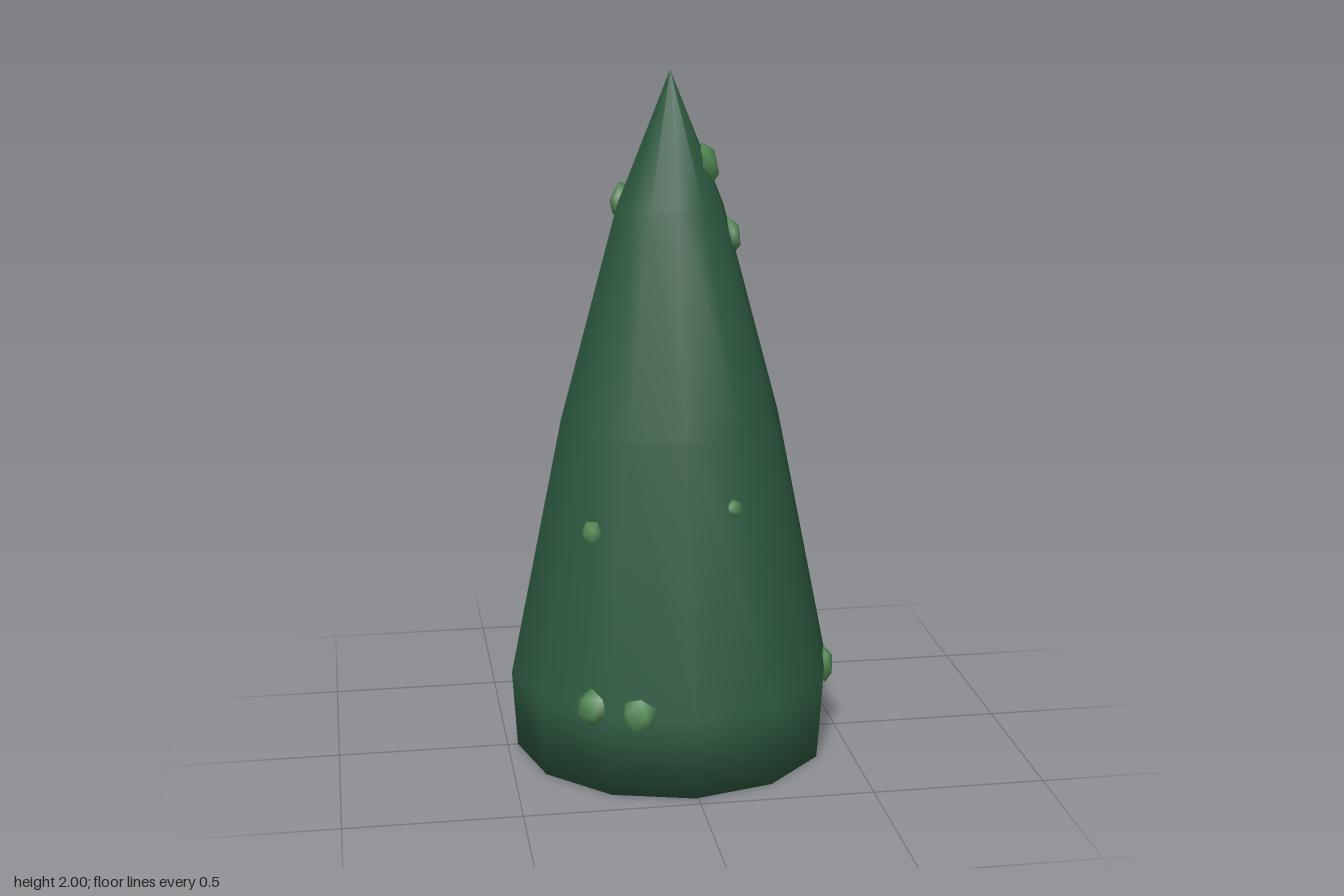
import * as THREE from 'three';
import { mergeVertices } from 'three/addons/utils/BufferGeometryUtils.js';

const SIDES = 12;
const CENTRE_X = -0.008;
// Cone outline as [radius, height], from the middle of the base to the tip
const PROFILE = [[0, 0], [0.462, 0], [0.476, 0.23], [0.32, 1.0], [0.153, 1.62], [0, 2]];

// Distance from the axis to the twelve-sided wall at a height and angle
function wallRadius(y, angle) {
  let r = 0;
  for (let i = 1; i < PROFILE.length - 1; i++) {
    const [r0, y0] = PROFILE[i], [r1, y1] = PROFILE[i + 1];
    if (y >= y0 && y <= y1) r = r0 + (r1 - r0) * (y - y0) / (y1 - y0);
  }
  const step = 2 * Math.PI / SIDES;
  const a = ((angle % step) + step) % step - step / 2;
  return r * Math.cos(step / 2) / Math.cos(a);
}

// Smooth low-poly blob
function blobGeometry() {
  const g = new THREE.IcosahedronGeometry(1, 0);
  g.deleteAttribute('normal');
  g.deleteAttribute('uv');
  const merged = mergeVertices(g, 1e-4);
  merged.computeVertexNormals();
  return merged;
}

export function createModel() {
  const model = new THREE.Group();
  model.name = 'coneTree';
  const darkGreen = new THREE.MeshStandardMaterial({ color: 0x2d5a40 });
  darkGreen.name = 'dark green foliage';
  const lightGreen = new THREE.MeshStandardMaterial({ color: 0x4f8550 });
  lightGreen.name = 'light green tufts';

  // Foliage cone with closed base
  const cone = new THREE.Mesh(
    new THREE.LatheGeometry(PROFILE.map(([r, y]) => new THREE.Vector2(r, y)), SIDES),
    darkGreen);
  cone.name = 'foliageCone';
  cone.position.x = CENTRE_X;
  model.add(cone);

  // Tufts sunk into the wall: x and z give the direction, then height and size
  const tufts = [
    [0.11, 0.01, 1.735, 0.066], [0.16, 0.0, 1.53, 0.055],
    [-0.14, -0.05, 1.63, 0.058], [-0.12, -0.165, 1.45, 0.05],
    [-0.01, -0.245, 1.28, 0.036], [0.11, -0.37, 0.64, 0.037],
    [0.24, -0.33, 0.52, 0.045], [0.14, -0.43, 0.3, 0.052],
    [-0.255, -0.34, 0.5, 0.042], [0.465, 0.055, 0.22, 0.055],
    [-0.29, 0.365, 0.255, 0.053], [-0.17, 0.44, 0.25, 0.053],
    [-0.275, 0.25, 0.735, 0.036], [0.125, 0.325, 0.81, 0.026],
  ];
  const blob = blobGeometry();
  const group = new THREE.Group();
  group.name = 'tufts';
  tufts.forEach(([x, z, y, size], i) => {
    const angle = Math.atan2(x - CENTRE_X, z);
    const r = wallRadius(y, angle);
    const tuft = new THREE.Mesh(blob, lightGreen);
    tuft.name = 'tuft' + (i + 1);
    tuft.position.set(CENTRE_X + Math.sin(angle) * r, y, Math.cos(angle) * r);
    tuft.rotation.set(y > 0.23 ? -0.22 : 0, angle, i * 0.7, 'YXZ');
    tuft.scale.set(size, size, size * 0.5);
    group.add(tuft);
  });
  model.add(group);
  return model;
}
